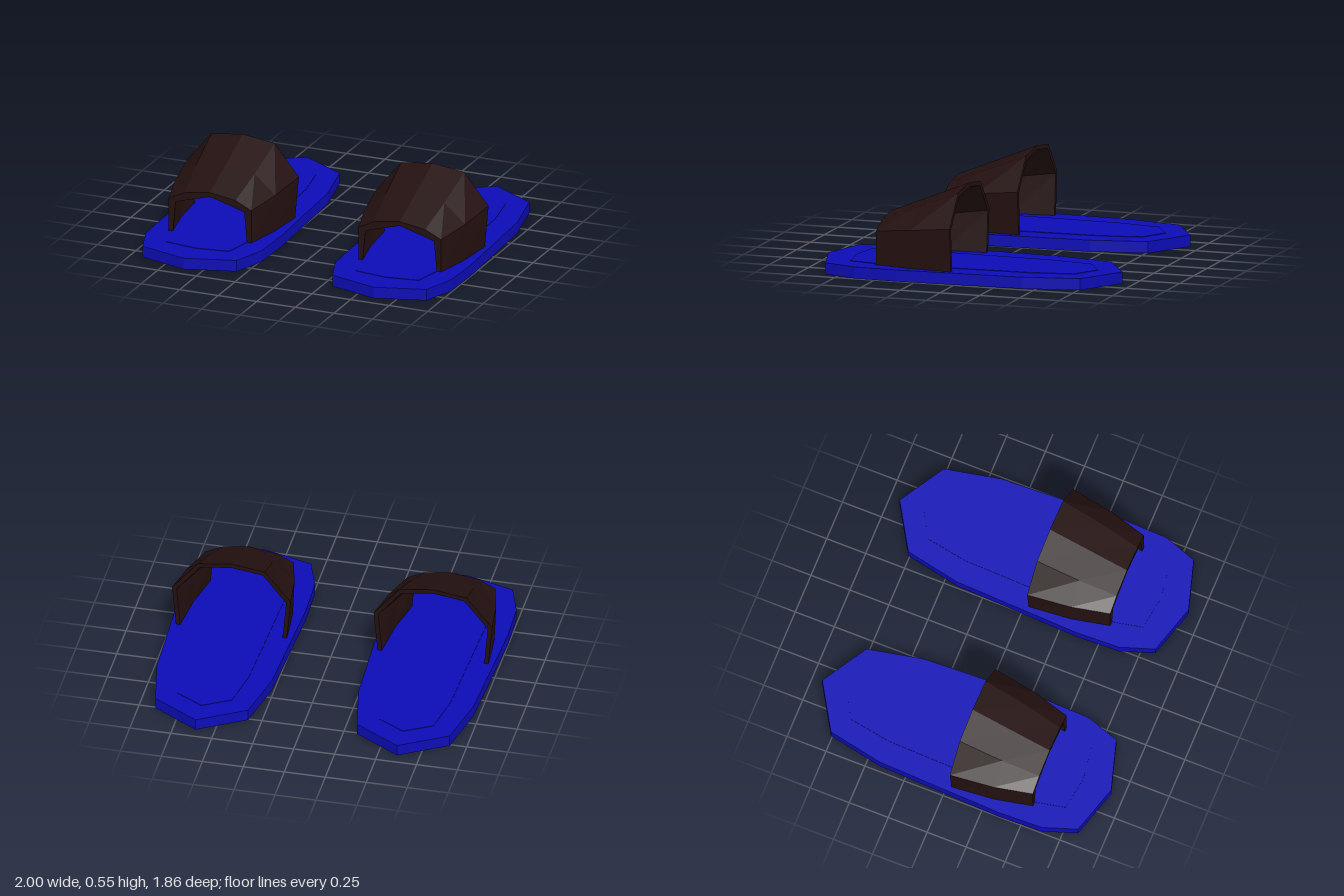
import * as THREE from 'three';

const blue = new THREE.MeshStandardMaterial({ color: 0x0c0cb6, flatShading: true });
blue.name = 'blue foam';
const brown = new THREE.MeshStandardMaterial({ color: 0x241010, flatShading: true });
brown.name = 'dark brown leather';

// Half outlines [x, z], heel to toe, mirrored across x
const soleHalf = [[0, -0.93], [0.283, -0.76], [0.352, -0.42], [0.384, 0.36], [0.375, 0.63], [0.305, 0.835], [0, 0.925]];
const insoleHalf = [[0, -0.775], [0.165, -0.68], [0.21, -0.42], [0.226, 0.1], [0.24, 0.54], [0.205, 0.715], [0, 0.745]];

// Horizontal slab whose top lies at the given height
function slab(half, top, thickness) {
  const mirrored = half.slice(1, -1).reverse().map(([x, z]) => [-x, z]);
  const shape = new THREE.Shape([...half, ...mirrored].map(([x, z]) => new THREE.Vector2(x, z)));
  const geometry = new THREE.ExtrudeGeometry(shape, { depth: thickness, bevelEnabled: false });
  return geometry.rotateX(Math.PI / 2).translate(0, top, 0);
}

// Strap cross-sections, front to back: half arches from foot to crown
const sections = [
  { z: 0.53,
    outer: [[0.268, 0.065], [0.268, 0.275], [0.165, 0.325], [0, 0.35]],
    inner: [[0.24, 0.065], [0.222, 0.258], [0.15, 0.281], [0, 0.323]] },
  { z: 0.3,
    outer: [[0.315, 0.065], [0.325, 0.302], [0.19, 0.418], [0, 0.443]],
    inner: [[0.288, 0.065], [0.295, 0.29], [0.178, 0.39], [0, 0.416]] },
  { z: 0.035,
    outer: [[0.338, 0.065], [0.362, 0.333], [0.205, 0.524], [0, 0.552]],
    inner: [[0.312, 0.065], [0.334, 0.322], [0.192, 0.498], [0, 0.525]] },
];

// Closed ring: over the outside, back along the inside
function ring({ z, outer, inner }) {
  const arch = (half) => [...half, ...half.slice(0, -1).reverse().map(([x, y]) => [-x, y])];
  return [...arch(outer), ...arch(inner).reverse()].map(([x, y]) => [x, y, z]);
}

function strapGeometry() {
  const rings = sections.map(ring);
  const n = rings[0].length;
  const positions = [];
  const quad = (a, b, c, d) => positions.push(...a, ...b, ...c, ...a, ...c, ...d);
  for (let i = 0; i < rings.length - 1; i++) {
    const f = rings[i], b = rings[i + 1];
    for (let j = 0; j < n; j++) {
      const k = (j + 1) % n;
      quad(f[j], b[j], b[k], f[k]);
    }
  }
  // Front and back rims
  const f = rings[0], b = rings[rings.length - 1];
  for (let j = 0; j < n / 2 - 1; j++) {
    quad(f[j], f[j + 1], f[n - 2 - j], f[n - 1 - j]);
    quad(b[j], b[n - 1 - j], b[n - 2 - j], b[j + 1]);
  }
  const geometry = new THREE.BufferGeometry();
  geometry.setAttribute('position', new THREE.Float32BufferAttribute(positions, 3));
  geometry.computeVertexNormals();
  return geometry;
}

export function createModel() {
  const model = new THREE.Group();
  model.name = 'pairOfSandals';
  const parts = [
    ['sole', slab(soleHalf, 0.07, 0.07), blue],
    ['insole', slab(insoleHalf, 0.073, 0.006), blue],
    ['strap', strapGeometry(), brown],
  ];
  for (const [name, x] of [['leftSandal', 0.615], ['rightSandal', -0.615]]) {
    const sandal = new THREE.Group();
    sandal.name = name;
    sandal.position.x = x;
    for (const [partName, geometry, material] of parts) {
      const mesh = new THREE.Mesh(geometry, material);
      mesh.name = partName;
      sandal.add(mesh);
    }
    model.add(sandal);
  }
  return model;
}
